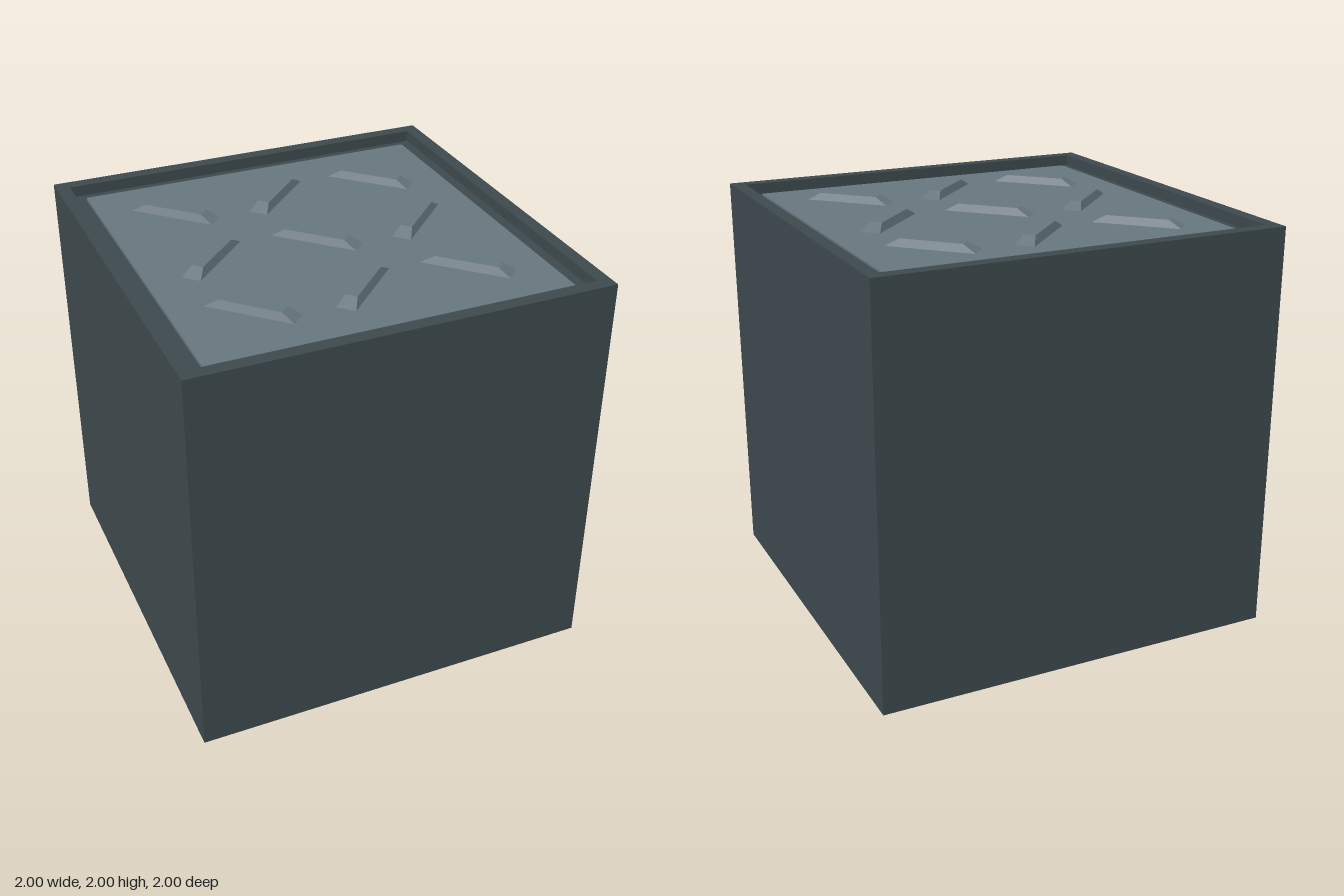
import * as THREE from 'three';

const FLOOR = 1.945; // bottom of the shallow recess
const PLATE = 1.96;  // top of the tread plate

// Square outline with half-size h
function square(Type, h) {
  const s = new Type();
  s.moveTo(-h, -h);
  s.lineTo(h, -h);
  s.lineTo(h, h);
  s.lineTo(-h, h);
  s.closePath();
  return s;
}

// Raised bar with sloped ends and slightly tapered sides
function treadGeometry(length, width, height) {
  const g = new THREE.BoxGeometry(length, height, width).toNonIndexed();
  const p = g.attributes.position;
  for (let i = 0; i < p.count; i++) {
    if (p.getY(i) > 0) {
      p.setX(i, p.getX(i) * 0.7);
      p.setZ(i, p.getZ(i) * 0.62);
    }
  }
  g.translate(0, height / 2, 0);
  g.computeVertexNormals();
  return g;
}

export function createModel() {
  const group = new THREE.Group();
  group.name = 'metalBlock';
  const dark = new THREE.MeshStandardMaterial({ color: 0x3d494d });
  dark.name = 'darkSteel';
  const light = new THREE.MeshStandardMaterial({ color: 0x67767e });
  light.name = 'lightSteel';

  const add = (name, geometry, material, x = 0, y = 0, z = 0) => {
    const mesh = new THREE.Mesh(geometry, material);
    mesh.name = name;
    mesh.position.set(x, y, z);
    group.add(mesh);
    return mesh;
  };

  // Solid block up to the recess floor
  add('body', new THREE.BoxGeometry(2, FLOOR, 2), dark, 0, FLOOR / 2, 0);

  // Raised border around the top
  const border = square(THREE.Shape, 1);
  border.holes.push(square(THREE.Path, 0.935));
  const rim = new THREE.ExtrudeGeometry(border, { depth: 2 - FLOOR, bevelEnabled: false });
  rim.rotateX(-Math.PI / 2);
  add('rim', rim, dark, 0, FLOOR, 0);

  // Inset plate
  const thick = PLATE - FLOOR;
  add('treadPlate', new THREE.BoxGeometry(1.74, thick, 1.74), light, 0, FLOOR + thick / 2, 0);

  // Grid of bars, alternating diagonals
  const bar = treadGeometry(0.425, 0.092, 0.035);
  for (let i = -1; i <= 1; i++) {
    for (let j = -1; j <= 1; j++) {
      const tread = add('treadBar', bar, light, i * 0.52, PLATE, j * 0.52);
      tread.rotation.y = (i + j) % 2 === 0 ? -Math.PI / 4 : Math.PI / 4;
    }
  }
  return group;
}
